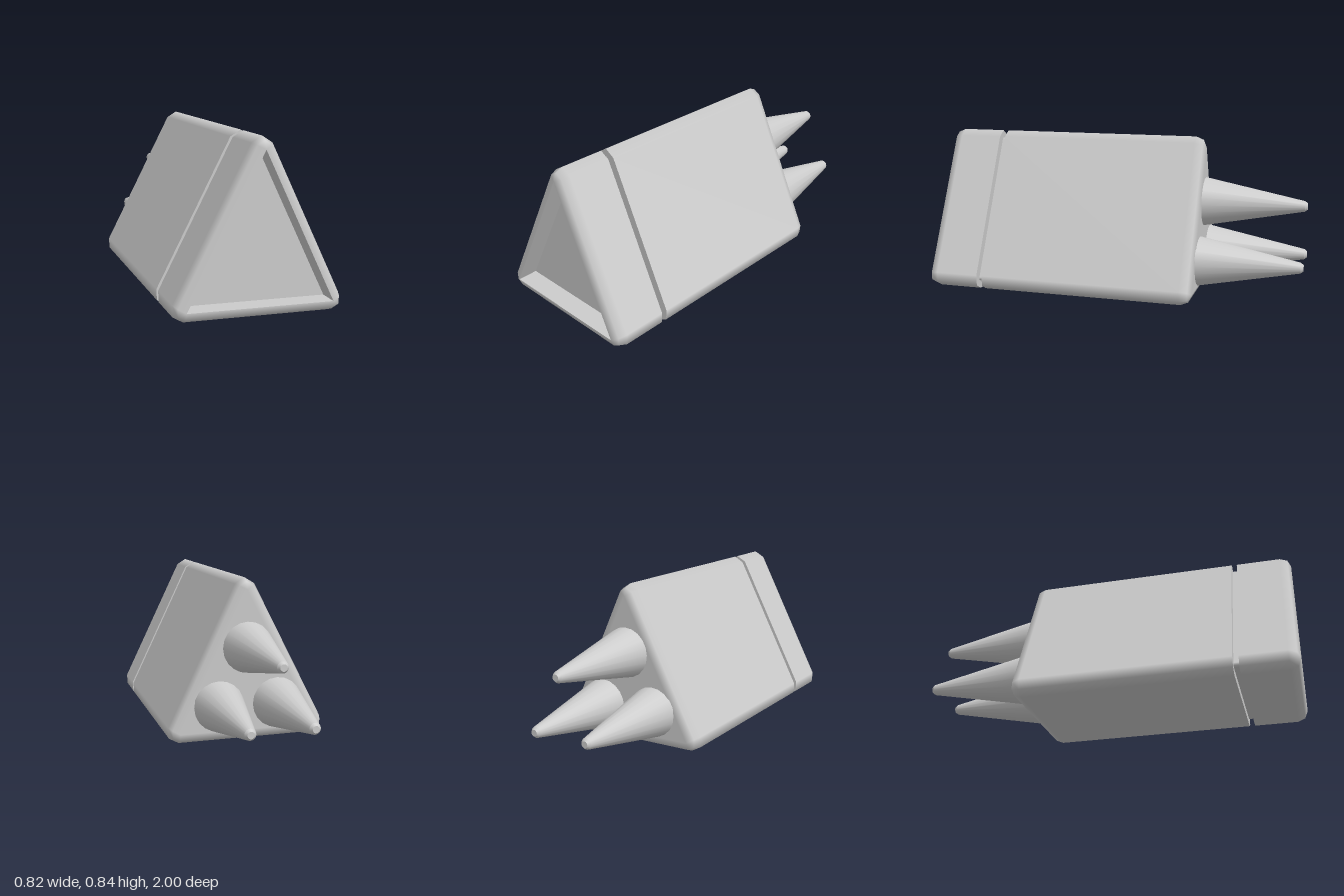
import * as THREE from 'three';

const material = new THREE.MeshStandardMaterial({ color: 0xcccccc });

// Sharp inner triangle; rounding it by a radius gives every cross-section.
const CORNERS = [[0.355, 0.064], [0, 0.777], [-0.355, 0.064]];
const SIDE = Math.atan2(0.355, 0.713); // direction of the right face's normal
const ANGLES = [-Math.PI / 2, SIDE, Math.PI - SIDE, Math.PI * 1.5];
const R = 0.057; // corner and end rounding

// Outline points as [corner x, corner y, direction x, direction y]
const OUTLINE = CORNERS.flatMap(([x, y], i) =>
  [0, 0.5, 1].map((t) => {
    const a = THREE.MathUtils.lerp(ANGLES[i], ANGLES[i + 1], t);
    return [x, y, Math.cos(a), Math.sin(a)];
  }));

// Skin over rings [radius, z, outward normal, z normal]; repeat a ring for a hard edge
function loft(rings) {
  const pos = [], nor = [], index = [];
  const n = OUTLINE.length;
  for (const [r, z, out, nz] of rings) {
    for (const [x, y, dx, dy] of OUTLINE) {
      pos.push(x + r * dx, y + r * dy, z);
      nor.push(dx * out, dy * out, nz);
    }
  }
  for (let i = 0; i < rings.length - 1; i++) {
    for (let j = 0; j < n; j++) {
      const a = i * n + j, b = i * n + (j + 1) % n;
      index.push(a, a + n, b, b, a + n, b + n);
    }
  }
  const g = new THREE.BufferGeometry();
  g.setAttribute('position', new THREE.Float32BufferAttribute(pos, 3));
  g.setAttribute('normal', new THREE.Float32BufferAttribute(nor, 3));
  g.setIndex(index);
  return g;
}

// Flat end of a given radius, facing front or back
function cap(r, z, back = false) {
  const points = OUTLINE.map(([x, y, dx, dy]) => new THREE.Vector2(x + r * dx, y + r * dy));
  const g = new THREE.ShapeGeometry(new THREE.Shape(points));
  if (back) g.rotateY(Math.PI);
  return g.translate(0, 0, z);
}

// Rounded end: rings from the flat end (t = 0) to the straight wall (t = 1)
const roundEnd = (z, sign) => [0, 0.5, 1].map((t) => {
  const s = Math.sin(t * Math.PI / 2), c = Math.cos(t * Math.PI / 2);
  return [R * s, z - sign * R * (1 - c), s, sign * c];
});

export function createModel() {
  const model = new THREE.Group();
  model.name = 'prismWithProngs';
  const add = (name, geometry, parent = model) => {
    const mesh = new THREE.Mesh(geometry, material);
    mesh.name = name;
    parent.add(mesh);
    return mesh;
  };

  const front = 0.995, back = -0.46, recess = 0.89;
  const grooveFront = 0.705, grooveBack = 0.675, grooveR = 0.015;

  // Front cap with its triangular recess
  add('frontCap', loft([
    [0, recess, -1, 0], [0, front, -1, 0],
    ...roundEnd(front, 1),
    [R, grooveFront, 1, 0],
  ]));
  add('recessFloor', cap(0, recess));
  add('frontCapBack', cap(R, grooveFront, true));

  // Narrow neck forming the groove
  add('grooveNeck', loft([[grooveR, grooveFront, 1, 0], [grooveR, grooveBack, 1, 0]]));

  // Main body
  add('body', loft([[R, grooveBack, 1, 0], ...roundEnd(back, -1).reverse()]));
  add('bodyFront', cap(R, grooveBack));
  add('bodyBack', cap(0, back, true));

  // Three tapered prongs with chamfered tips
  for (const [x, y] of [[0, 0.487], [-0.153, 0.194], [0.153, 0.194]]) {
    const prong = new THREE.Group();
    prong.name = 'prong';
    prong.position.set(x, y, back + 0.01);
    prong.rotation.x = -Math.PI / 2;
    add('prongShaft', new THREE.CylinderGeometry(0.028, 0.132, 0.535, 20, 1, true), prong).position.y = 0.2675;
    add('prongTip', new THREE.CylinderGeometry(0.017, 0.028, 0.014, 20), prong).position.y = 0.542;
    model.add(prong);
  }

  // The whole piece lies very slightly askew
  model.rotation.set(-0.009, 0.005, -0.016);
  return model;
}
